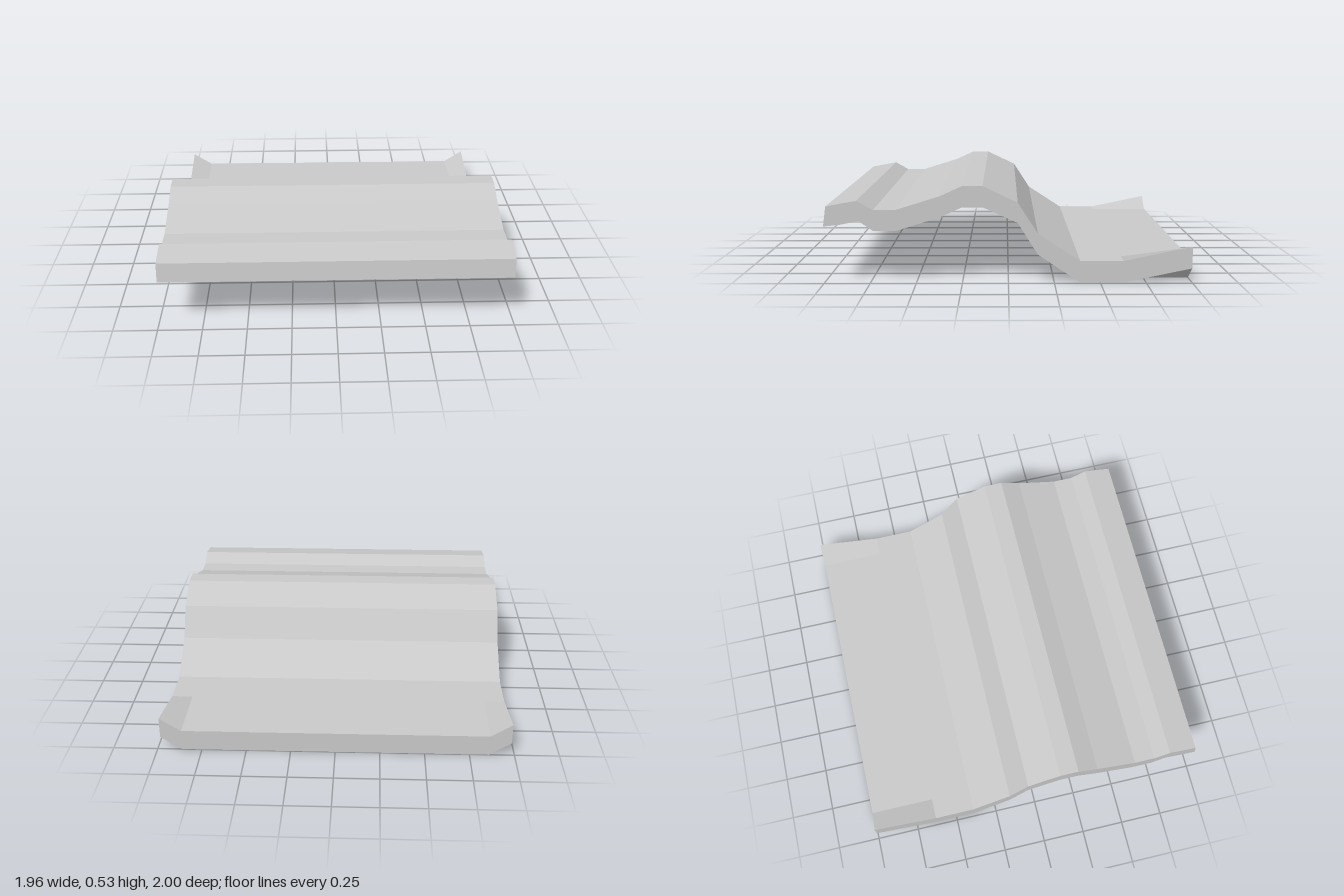
import * as THREE from 'three';

// Cross-section stations from front to back: [top z, top y, bottom z, bottom y]
const STATIONS = [
  [0.985, 0.42, 1.0, 0.31],
  [0.905, 0.435, 0.91, 0.32],
  [0.82, 0.45, 0.81, 0.34],
  [0.73, 0.4, 0.73, 0.285],
  [0.61, 0.4, 0.61, 0.285],
  [0.37, 0.475, 0.37, 0.36],
  [0.25, 0.53, 0.25, 0.415],
  [0.14, 0.53, 0.14, 0.415],
  [-0.05, 0.44, -0.05, 0.33],
  [-0.16, 0.27, -0.16, 0.155],
  [-0.39, 0.12, -0.39, 0],
  [-0.625, 0.12, -0.625, 0],
  [-1, 0.12, -1, 0],
];
const COLUMNS = [-0.98, -0.86, 0.86, 0.98];
const CORNER_LIFT = 0.078;

function waveSlabGeometry() {
  const positions = [], normals = [];
  const lastRow = STATIONS.length - 1;
  const lastCol = COLUMNS.length - 1;

  // Point on the top or bottom skin; the two back corners are turned up
  const point = (row, col, top) => {
    const s = STATIONS[row];
    const corner = row === lastRow && (col === 0 || col === lastCol);
    return new THREE.Vector3(COLUMNS[col], (top ? s[1] : s[3]) + (corner ? CORNER_LIFT : 0), top ? s[0] : s[2]);
  };

  // Flat-shaded four-sided face, split along a-c
  const quad = (a, b, c, d) => {
    const n = c.clone().sub(a).cross(d.clone().sub(b)).normalize();
    for (const p of [a, b, c, a, c, d]) {
      positions.push(p.x, p.y, p.z);
      normals.push(n.x, n.y, n.z);
    }
  };

  // Top and bottom skins
  for (let r = 0; r < lastRow; r++) {
    for (let c = 0; c < lastCol; c++) {
      for (const top of [true, false]) {
        let q = [point(r, c, top), point(r, c + 1, top), point(r + 1, c + 1, top), point(r + 1, c, top)];
        if (c === 0) q = [q[1], q[2], q[3], q[0]]; // mirror the split on the other side
        if (!top) q = [q[0], q[3], q[2], q[1]];
        quad(...q);
      }
    }
    // Side walls
    quad(point(r, lastCol, false), point(r + 1, lastCol, false), point(r + 1, lastCol, true), point(r, lastCol, true));
    quad(point(r + 1, 0, false), point(r, 0, false), point(r, 0, true), point(r + 1, 0, true));
  }

  // Front and back walls
  for (let c = 0; c < lastCol; c++) {
    quad(point(0, c, false), point(0, c + 1, false), point(0, c + 1, true), point(0, c, true));
    quad(point(lastRow, c + 1, false), point(lastRow, c, false), point(lastRow, c, true), point(lastRow, c + 1, true));
  }

  const geometry = new THREE.BufferGeometry();
  geometry.setAttribute('position', new THREE.Float32BufferAttribute(positions, 3));
  geometry.setAttribute('normal', new THREE.Float32BufferAttribute(normals, 3));
  return geometry;
}

export function createModel() {
  const group = new THREE.Group();
  group.name = 'wavyTile';
  const lightGrey = new THREE.MeshStandardMaterial({ color: 0xc8c8c8 });
  lightGrey.name = 'lightGrey';
  const slab = new THREE.Mesh(waveSlabGeometry(), lightGrey);
  slab.name = 'wavySlab';
  group.add(slab);
  return group;
}
